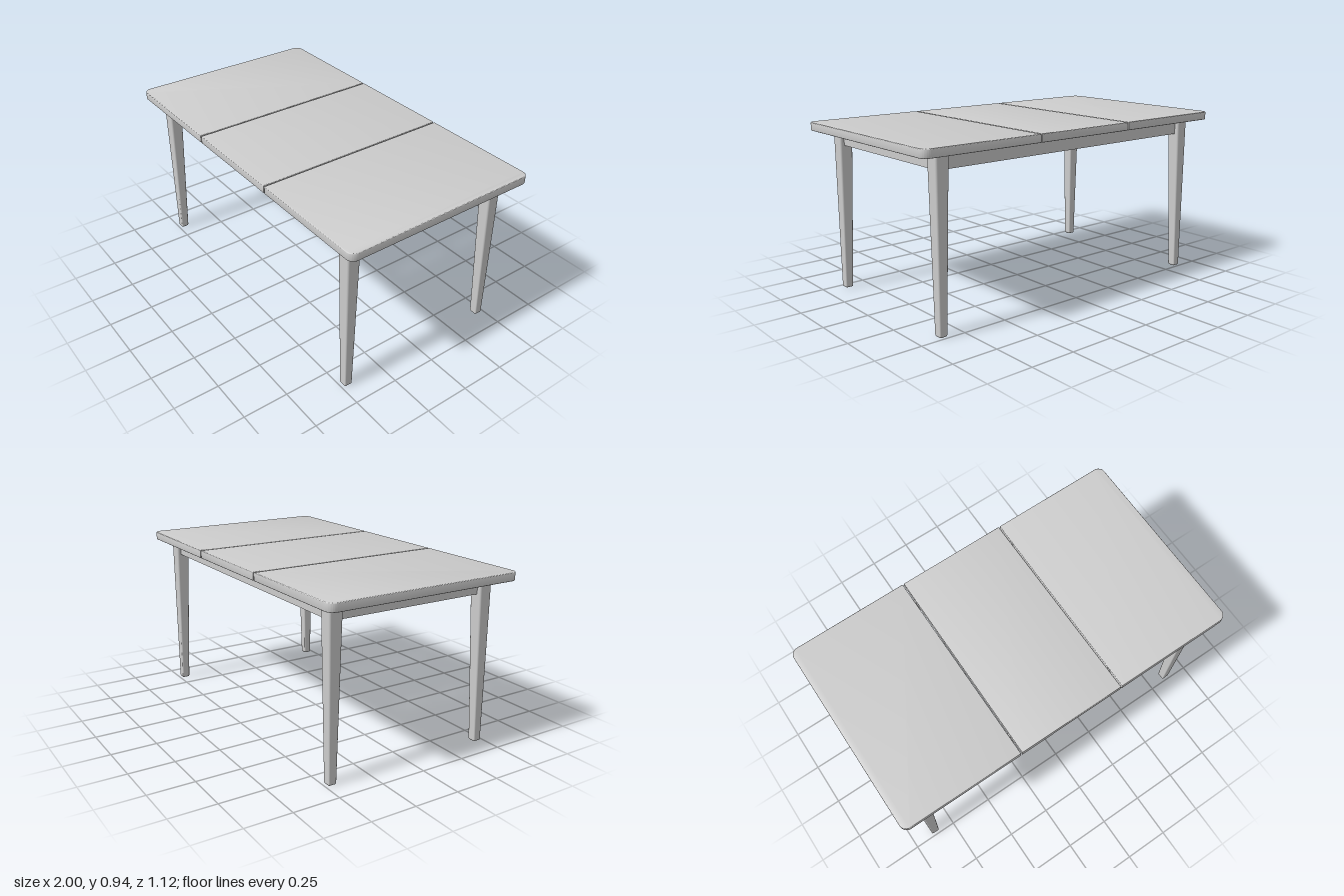
import * as THREE from 'three';
import { RoundedBoxGeometry } from 'three/addons/geometries/RoundedBoxGeometry.js';
import { toCreasedNormals } from 'three/addons/utils/BufferGeometryUtils.js';

const TOP = 0.94, UNDER = 0.895, DEPTH = 0.56, SEAM = 0.31, GAP = 0.008;

// Flat board from x0 to x1 with plan corner radii for its left and right ends
function boardGeometry(x0, x1, rLeft, rRight) {
  const b = 0.004, h = TOP - UNDER, z = DEPTH - b;
  const l = x0 + b, r = x1 - b;
  const s = new THREE.Shape();
  s.moveTo(l + rLeft, -z);
  s.lineTo(r - rRight, -z);
  if (rRight) s.absarc(r - rRight, -z + rRight, rRight, -Math.PI / 2, 0);
  s.lineTo(r, z - rRight);
  if (rRight) s.absarc(r - rRight, z - rRight, rRight, 0, Math.PI / 2);
  s.lineTo(l + rLeft, z);
  if (rLeft) s.absarc(l + rLeft, z - rLeft, rLeft, Math.PI / 2, Math.PI);
  s.lineTo(l, -z + rLeft);
  if (rLeft) s.absarc(l + rLeft, -z + rLeft, rLeft, Math.PI, Math.PI * 1.5);
  const g = new THREE.ExtrudeGeometry(s, {
    depth: h - 2 * b, bevelThickness: b, bevelSize: b, bevelSegments: 3, curveSegments: 10,
  });
  g.rotateX(-Math.PI / 2).translate(0, UNDER + b, 0);
  return toCreasedNormals(g, 0.6);
}

// Rounded square post, tapered on its two inner sides
function legGeometry(sx, sz) {
  const g = new RoundedBoxGeometry(0.077, UNDER, 0.077, 4, 0.011);
  const p = g.attributes.position;
  for (let i = 0; i < p.count; i++) {
    const t = p.getY(i) / UNDER + 0.5;
    const k = THREE.MathUtils.lerp(0.045, 0.077, t) / 0.077;
    const outer = THREE.MathUtils.lerp(-0.0045, 0, t);
    const inset = outer - 0.0385 * k;
    p.setXYZ(i,
      sx * (0.89 + inset) + p.getX(i) * k,
      t * UNDER,
      sz * (0.49 + inset) + p.getZ(i) * k);
  }
  return g;
}

export function createModel() {
  const table = new THREE.Group();
  table.name = 'extendingTable';
  const grey = new THREE.MeshStandardMaterial({ color: 0xcccccc });
  grey.name = 'paleGrey';
  const add = (name, geometry) => {
    const m = new THREE.Mesh(geometry, grey);
    m.name = name;
    table.add(m);
    return m;
  };

  // Tabletop in three boards
  add('rightBoard', boardGeometry(-1, -SEAM - GAP / 2, 0.036, 0));
  add('centreLeaf', boardGeometry(-SEAM + GAP / 2, SEAM - GAP / 2, 0, 0));
  add('leftBoard', boardGeometry(SEAM + GAP / 2, 1, 0, 0.036));

  for (const s of [-1, 1]) {
    const side = s > 0 ? 'left' : 'right', end = s > 0 ? 'front' : 'back';
    // Apron rails running between the legs
    add(end + 'Apron', new THREE.BoxGeometry(1.67, 0.08, 0.03)).position.set(0, 0.855, s * 0.452);
    add(side + 'Apron', new THREE.BoxGeometry(0.03, 0.08, 0.87)).position.set(s * 0.852, 0.855, 0);
    for (const e of [-1, 1]) {
      add(side + (e > 0 ? 'FrontLeg' : 'BackLeg'), legGeometry(s, e));
      // Alignment pegs bridging the seams
      const peg = add('alignmentPeg', new THREE.CylinderGeometry(0.013, 0.013, 0.03, 16));
      peg.rotation.z = Math.PI / 2;
      peg.position.set(s * SEAM, (TOP + UNDER) / 2, e * 0.445);
    }
  }
  return table;
}
